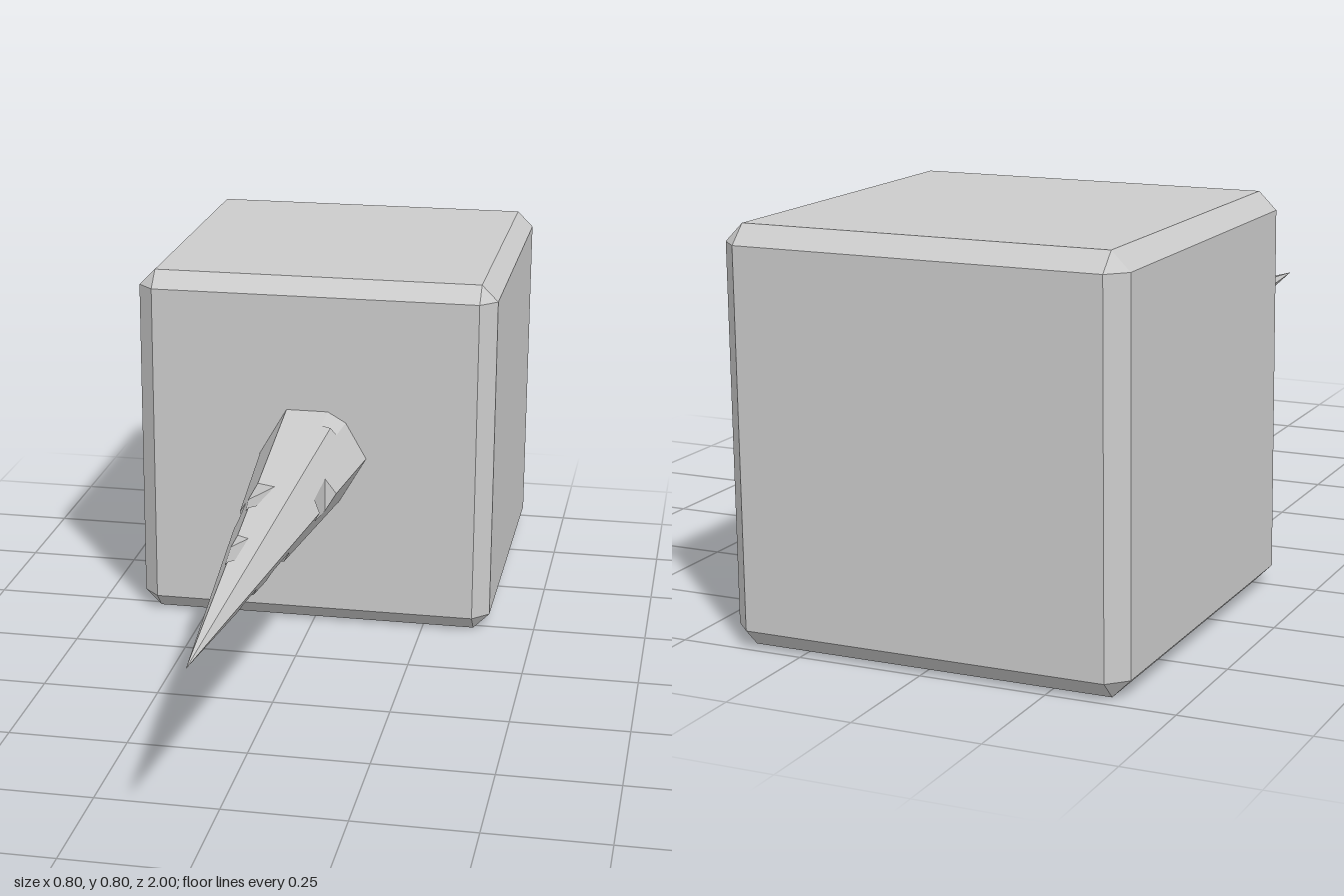
import * as THREE from 'three';
import { ConvexGeometry } from 'three/addons/geometries/ConvexGeometry.js';

const material = new THREE.MeshStandardMaterial({ color: 0xcccccc, flatShading: true });

// Cube with flat chamfered edges and triangular corners
function chamferedCube(size, chamfer) {
  const outer = size / 2, inner = outer - chamfer;
  const points = [];
  for (const x of [-1, 1]) for (const y of [-1, 1]) for (const z of [-1, 1]) {
    points.push(
      new THREE.Vector3(x * outer, y * inner, z * inner),
      new THREE.Vector3(x * inner, y * outer, z * inner),
      new THREE.Vector3(x * inner, y * inner, z * outer));
  }
  return new ConvexGeometry(points);
}

// Chips along the spike's ridges: ridge number, z start and end,
// cut width at each end as a share of the side length
const chips = [
  { ridge: 0, z0: 0.04, z1: 0.165, w0: 0.45, w1: 0.33 },
  { ridge: 1, z0: -0.3, z1: -0.11, w0: 0.25, w1: 0.2 },
  { ridge: 2, z0: 0.2, z1: 0.32, w0: 0.5, w1: 0.2 },
  { ridge: 2, z0: 0.45, z1: 0.57, w0: 0.45, w1: 0.3 },
  { ridge: 3, z0: 0.19, z1: 0.29, w0: 0.4, w1: 0.15 },
  { ridge: 4, z0: -0.1, z1: 0.04, w0: 0.4, w1: 0.3 },
  { ridge: 5, z0: 0.3, z1: 0.44, w0: 0.45, w1: 0.35 },
  { ridge: 5, z0: 0.54, z1: 0.65, w0: 0.45, w1: 0.3 },
];
const STEP = 0.012;

function cutWidth(ridge, z) {
  for (const c of chips) {
    if (c.ridge !== ridge || z <= c.z0 || z >= c.z1) continue;
    const floor = THREE.MathUtils.lerp(c.w0, c.w1, (z - c.z0) / (c.z1 - c.z0));
    return floor * Math.min(1, (z - c.z0) / STEP, (c.z1 - z) / STEP);
  }
  return 0;
}

// Six-sided spike along z; each ridge has two points that spread apart at a chip
function chippedSpike(base, tip, radius) {
  const levels = [base, tip];
  for (const c of chips) levels.push(c.z0, c.z0 + STEP, c.z1 - STEP, c.z1);
  const zs = [...new Set(levels)].filter(z => z >= base).sort((a, b) => a - b);

  const rings = zs.map(z => {
    const r = radius * (tip - z) / (tip - base);
    const corner = i => new THREE.Vector3(
      r * Math.cos(i * Math.PI / 3), r * Math.sin(i * Math.PI / 3), z);
    const ring = [];
    for (let i = 0; i < 6; i++) {
      const w = cutWidth(i, z);
      ring.push(corner(i).lerp(corner(i - 1), w), corner(i).lerp(corner(i + 1), w));
    }
    return ring;
  });

  const positions = [];
  const addTriangle = (a, b, c) => {
    const area = b.clone().sub(a).cross(c.clone().sub(a)).length();
    if (area > 1e-9) for (const p of [a, b, c]) positions.push(p.x, p.y, p.z);
  };
  for (let k = 0; k < rings.length - 1; k++) {
    for (let i = 0; i < 12; i++) {
      const j = (i + 1) % 12;
      addTriangle(rings[k][i], rings[k][j], rings[k + 1][j]);
      addTriangle(rings[k][i], rings[k + 1][j], rings[k + 1][i]);
    }
  }
  const geometry = new THREE.BufferGeometry();
  geometry.setAttribute('position', new THREE.Float32BufferAttribute(positions, 3));
  geometry.computeVertexNormals();
  return geometry;
}

export function createModel() {
  const group = new THREE.Group();
  group.name = 'spikedBlock';

  const block = new THREE.Mesh(chamferedCube(0.8, 0.036), material);
  block.name = 'block';
  block.position.set(0, 0.4, -0.6);

  const spike = new THREE.Mesh(chippedSpike(-0.2, 1, 0.12), material);
  spike.name = 'spike';
  spike.position.y = 0.4;

  group.add(block, spike);
  return group;
}
